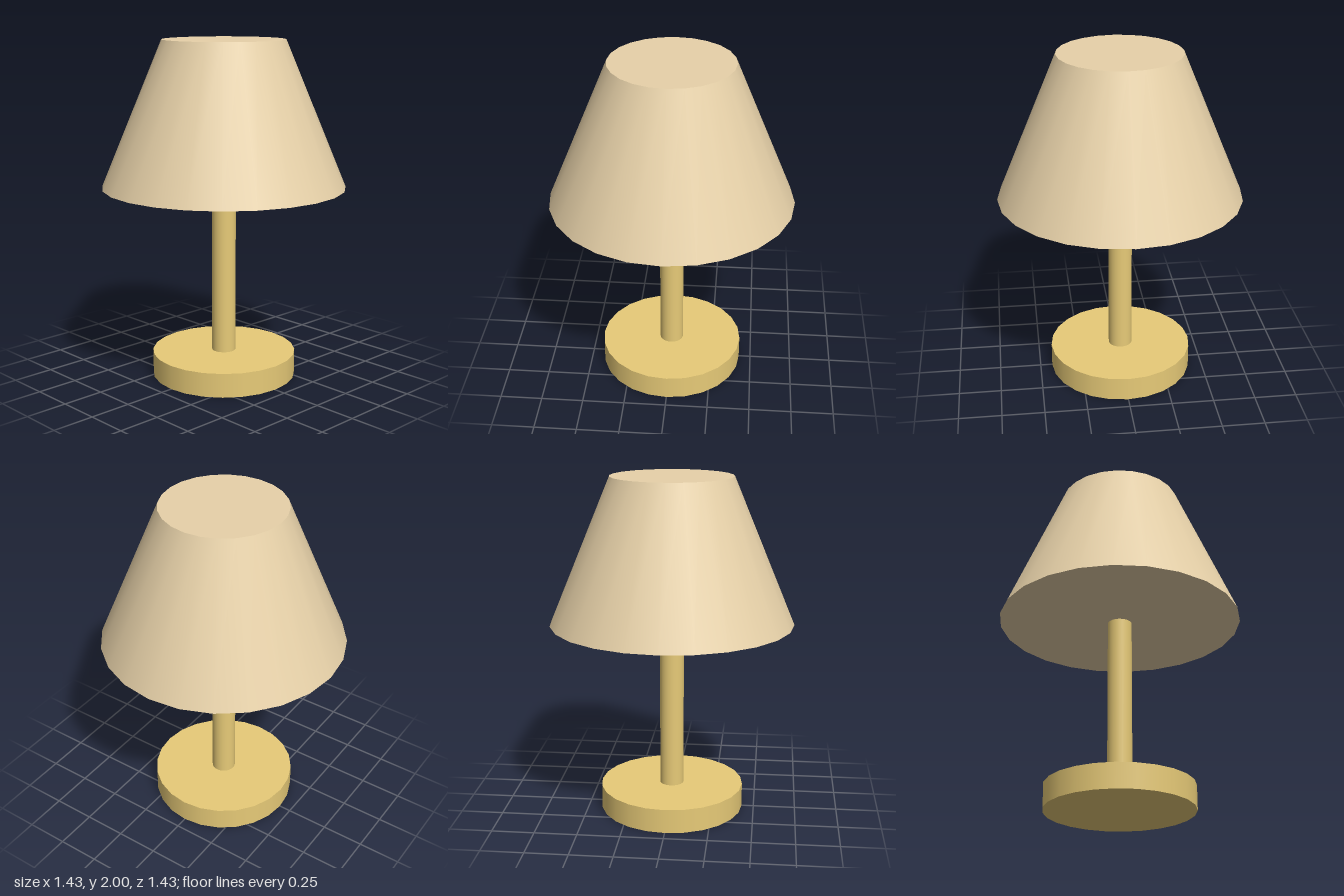
import * as THREE from 'three';

export function createModel() {
  const lamp = new THREE.Group();
  lamp.name = 'tableLamp';

  const brass = new THREE.MeshStandardMaterial({ color: 0xf3d57e });
  brass.name = 'brass';
  const fabric = new THREE.MeshStandardMaterial({ color: 0xf5deb3 });
  fabric.name = 'cream fabric';

  // Capped round part spanning bottom to top, smooth sides
  function addRound(name, radiusTop, radiusBottom, bottom, top, material) {
    const geometry = new THREE.CylinderGeometry(radiusTop, radiusBottom, top - bottom, 24);
    const mesh = new THREE.Mesh(geometry, material);
    mesh.name = name;
    mesh.position.y = (bottom + top) / 2;
    lamp.add(mesh);
  }

  addRound('base', 0.428, 0.428, 0, 0.143, brass);
  addRound('pole', 0.071, 0.071, 0.143, 1.148, brass);
  addRound('shade', 0.357, 0.714, 1.148, 2, fabric);

  return lamp;
}
